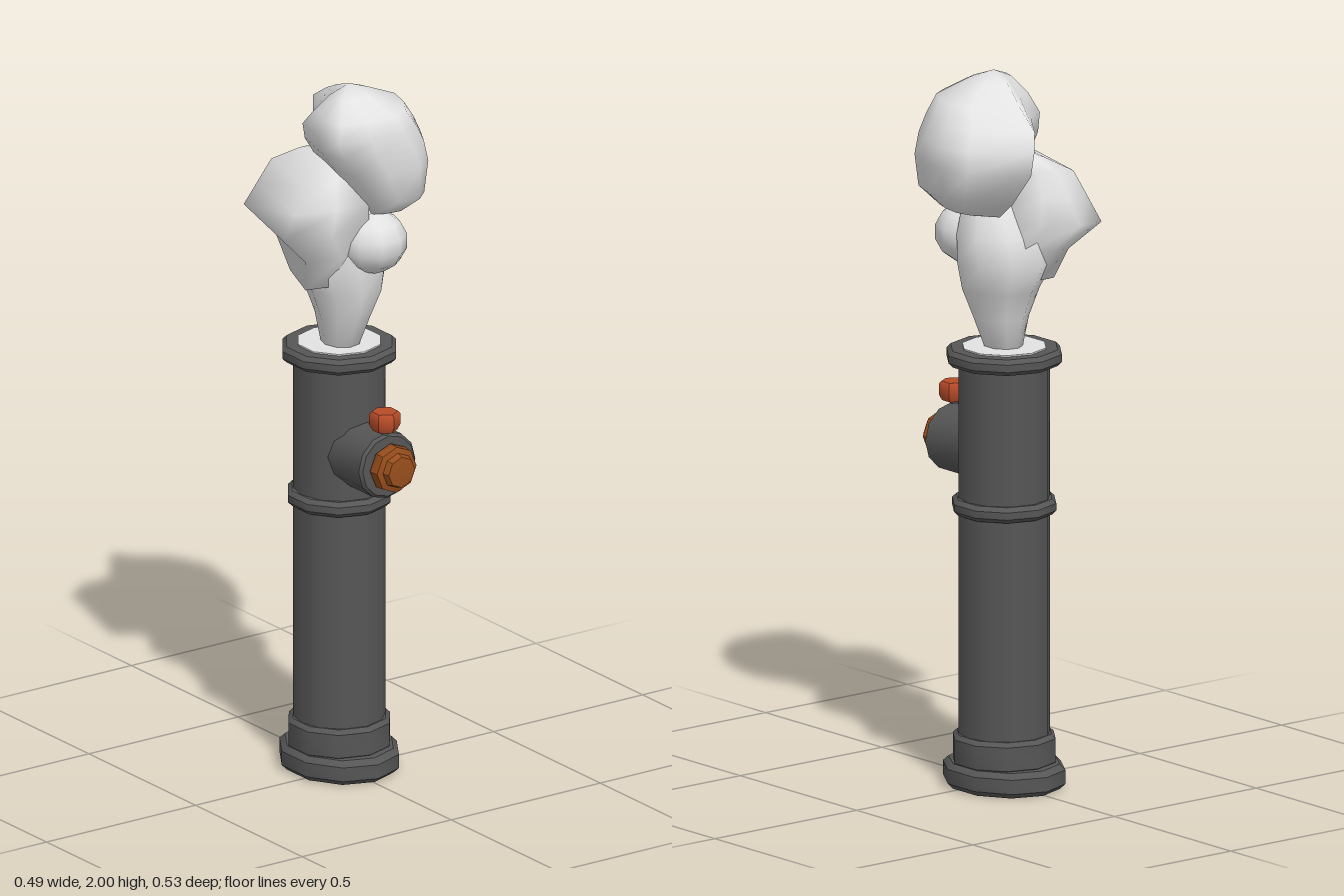
import * as THREE from 'three';
import { toCreasedNormals } from 'three/addons/utils/BufferGeometryUtils.js';

const paint = (name, color) => {
  const m = new THREE.MeshStandardMaterial({ color });
  m.name = name;
  return m;
};

// Solid of revolution from [radius, height] points; sharp profile edges, smooth sides
function turned(points, sides) {
  const profile = points.map(([r, y]) => new THREE.Vector2(r, y));
  return toCreasedNormals(new THREE.LatheGeometry(profile, sides), 0.72);
}

// Band with bevelled rims, closed at both ends
const band = (r, y0, y1, b = 0.012, sides = 10) =>
  turned([[0, y0], [r - b, y0], [r, y0 + b], [r, y1 - b], [r - b, y1], [0, y1]], sides);

// Stretches a unit footprint into rows [y, x0, x1, z0, z1], then closes both ends
function loft(footprint, rows, bottomY, topY) {
  const n = footprint.length, pos = [], index = [];
  for (const [y, x0, x1, z0, z1] of rows)
    for (const [u, v] of footprint) pos.push(x0 + (x1 - x0) * u, y, z0 + (z1 - z0) * v);
  const last = rows.length - 1;
  const tip = (row, y) => pos.push((row[1] + row[2]) / 2, y, (row[3] + row[4]) / 2);
  tip(rows[0], bottomY);
  tip(rows[last], topY);
  const low = n * rows.length, high = low + 1;
  for (let i = 0; i < n; i++) {
    const j = (i + 1) % n;
    for (let r = 0; r < last; r++) {
      const a = r * n + i, b = r * n + j;
      index.push(a, b, b + n, a, b + n, a + n);
    }
    index.push(j, i, low, last * n + i, last * n + j, high);
  }
  const g = new THREE.BufferGeometry();
  g.setAttribute('position', new THREE.Float32BufferAttribute(pos, 3));
  g.setIndex(index);
  g.computeVertexNormals();
  return g;
}

export function createModel() {
  const iron = paint('dark iron', 0x565656);
  const white = paint('steam white', 0xe2e2e2);
  const rust = paint('rusty brown', 0x984e1c);
  const red = paint('valve red', 0xb84c28);
  const model = new THREE.Group();
  model.name = 'steamPipe';

  const add = (parent, name, geometry, material, x = 0, y = 0, z = 0) => {
    const mesh = new THREE.Mesh(geometry, material);
    mesh.name = name;
    mesh.position.set(x, y, z);
    parent.add(mesh);
    return mesh;
  };

  // Upright pipe and its collars
  const pipe = new THREE.Group();
  pipe.name = 'pipe';
  pipe.position.set(0.005, 0, -0.032);
  model.add(pipe);
  add(pipe, 'pipeBody', new THREE.CylinderGeometry(0.127, 0.127, 1.18, 12), iron, 0, 0.62, 0);
  add(pipe, 'baseFoot', band(0.16, 0, 0.07, 0.015), iron).scale.z = 1.15;
  add(pipe, 'baseCollar', band(0.145, 0.06, 0.15), iron);
  add(pipe, 'middleCollar', band(0.147, 0.768, 0.812), iron);
  add(pipe, 'topCollar', band(0.163, 1.187, 1.232), iron);
  add(pipe, 'steamSurface', new THREE.CylinderGeometry(0.118, 0.118, 0.008, 10), white, 0, 1.232, 0);

  // Side outlet facing forward, with its plug
  const outlet = new THREE.Group();
  outlet.name = 'outlet';
  outlet.position.set(0.005, 0.938, 0);
  outlet.rotation.x = Math.PI / 2;
  model.add(outlet);
  add(outlet, 'outletPipe', band(0.095, 0, 0.2, 0.008, 12), iron);
  add(outlet, 'outletPlug',
    turned([[0.058, 0.195], [0.068, 0.208], [0.066, 0.238], [0.05, 0.243], [0.044, 0.262], [0, 0.265]], 8), rust);

  // Small valve above the outlet
  add(model, 'valveStem', new THREE.CylinderGeometry(0.012, 0.012, 0.06, 6), iron, 0.002, 1.04, 0.186);
  add(model, 'valveKnob',
    turned([[0, 1.04], [0.034, 1.04], [0.043, 1.056], [0.043, 1.086], [0.036, 1.094], [0, 1.094]], 6),
    red, 0.002, 0, 0.186);

  // Steam cloud: a flaring stem and three billows
  const steam = new THREE.Group();
  steam.name = 'steam';
  model.add(steam);
  const ring = Array.from({ length: 9 }, (_, i) => {
    const a = Math.PI + i * Math.PI * 2 / 9;
    return [0.5 + 0.5 * Math.cos(a), 0.5 - 0.5 * Math.sin(a)];
  });
  add(steam, 'steamStem', loft(ring, [
    [1.22, -0.045, 0.05, -0.08, 0.03],
    [1.32, -0.065, 0.085, -0.105, 0.065],
    [1.4, -0.095, 0.115, -0.135, 0.1],
    [1.48, -0.13, 0.145, -0.175, 0.1],
    [1.56, -0.12, 0.14, -0.15, 0.1],
    [1.66, -0.06, 0.11, -0.1, 0.08],
  ], 1.22, 1.69), white);

  const sideShape = [[0, 0.87], [0.45, 1], [0.9, 0.98], [1, 0.43], [0.9, 0.15], [0.75, 0.17], [0.56, 0], [0.3, 0]];
  add(steam, 'sideBillow', loft(sideShape, [
    [1.43, -0.15, 0.05, -0.13, 0.05],
    [1.52, -0.165, 0.05, -0.18, 0.08],
    [1.6, -0.245, 0.04, -0.25, 0.105],
    [1.67, -0.21, 0.04, -0.22, 0.1],
    [1.74, -0.17, 0.03, -0.19, 0.07],
    [1.775, -0.09, 0.03, -0.14, 0.03],
  ], 1.4, 1.79), white);

  add(steam, 'frontBillow', new THREE.SphereGeometry(1, 10, 7), white, 0.045, 1.545, 0.06)
    .scale.set(0.1, 0.09, 0.106);

  const topShape = [[0, 0.71], [0.04, 0.91], [0.3, 0.98], [0.62, 1], [0.81, 0.9], [0.93, 0.72],
    [1, 0.48], [0.92, 0.29], [0.55, 0], [0.27, 0.33], [0.09, 0.42]];
  add(steam, 'topBillow', loft(topShape, [
    [1.63, 0.03, 0.16, -0.13, 0.11],
    [1.68, -0.005, 0.212, -0.2, 0.172],
    [1.77, -0.07, 0.242, -0.265, 0.182],
    [1.83, -0.115, 0.235, -0.25, 0.18],
    [1.88, -0.131, 0.208, -0.225, 0.175],
    [1.93, -0.118, 0.165, -0.14, 0.16],
    [1.975, -0.07, 0.065, -0.045, 0.09],
  ], 1.61, 2), white);

  return model;
}
